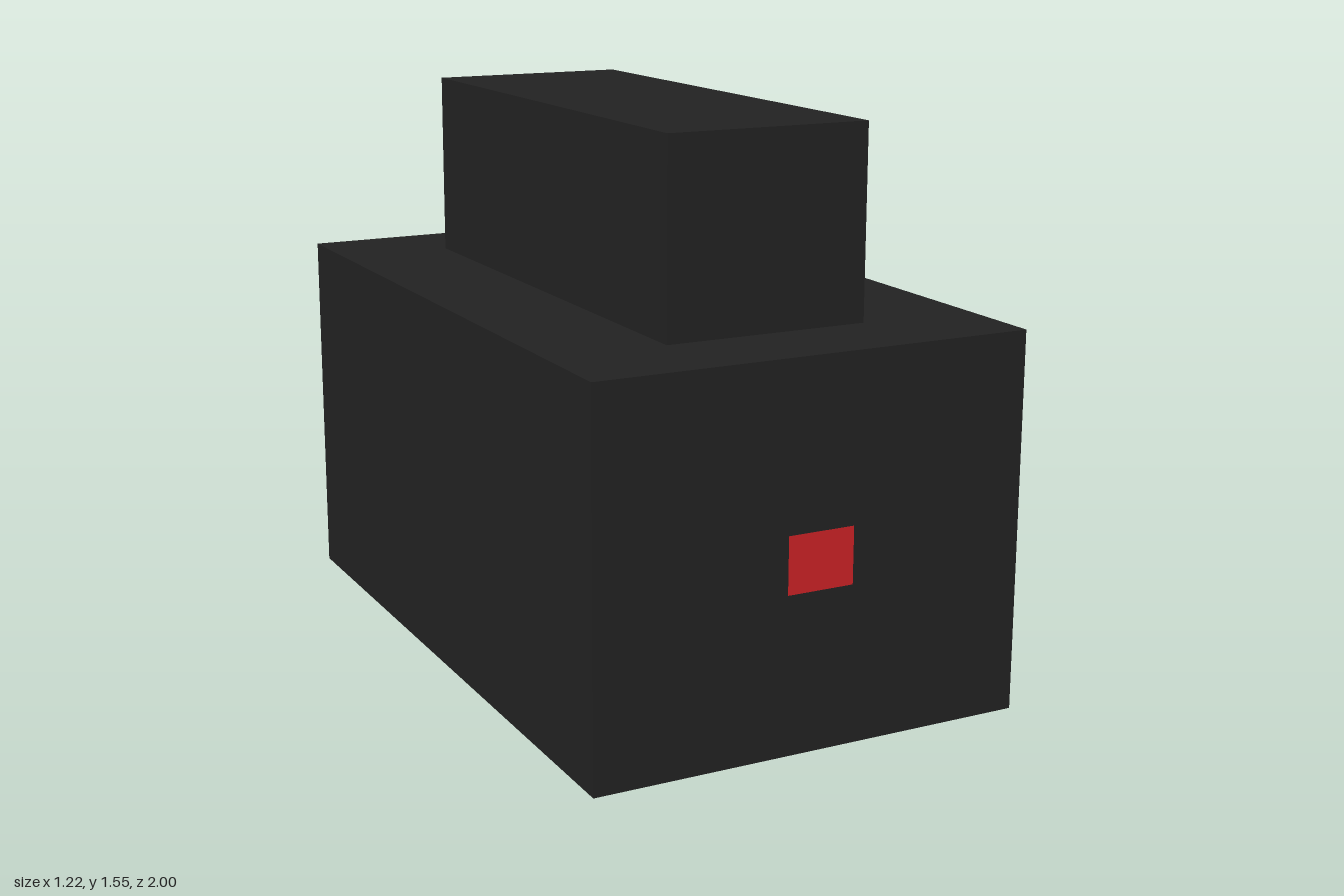
import * as THREE from 'three';

export function createModel() {
  const model = new THREE.Group();
  const black = new THREE.MeshStandardMaterial({ color: 0x222222 });
  black.name = 'black';
  const red = new THREE.MeshStandardMaterial({ color: 0xc92225, side: THREE.DoubleSide });
  red.name = 'red';

  const add = (name, geometry, material, x, y, z) => {
    const mesh = new THREE.Mesh(geometry, material);
    mesh.name = name;
    mesh.position.set(x, y, z);
    model.add(mesh);
  };

  // Large lower block and the narrower block on top of it
  const bodyHeight = 1.027, topHeight = 0.52, midZ = -0.0125;
  add('body', new THREE.BoxGeometry(1.22, bodyHeight, 1.975), black, 0, bodyHeight / 2, midZ);
  add('topBlock', new THREE.BoxGeometry(0.57, topHeight, 1.47), black, 0, bodyHeight + topHeight / 2, midZ);

  // Red marker just ahead of the front face, in two flat halves
  for (const side of [-1, 1]) {
    add(side > 0 ? 'leftMarker' : 'rightMarker', new THREE.PlaneGeometry(0.093, 0.153), red, side * 0.0465, 0.513, 1);
  }
  return model;
}
